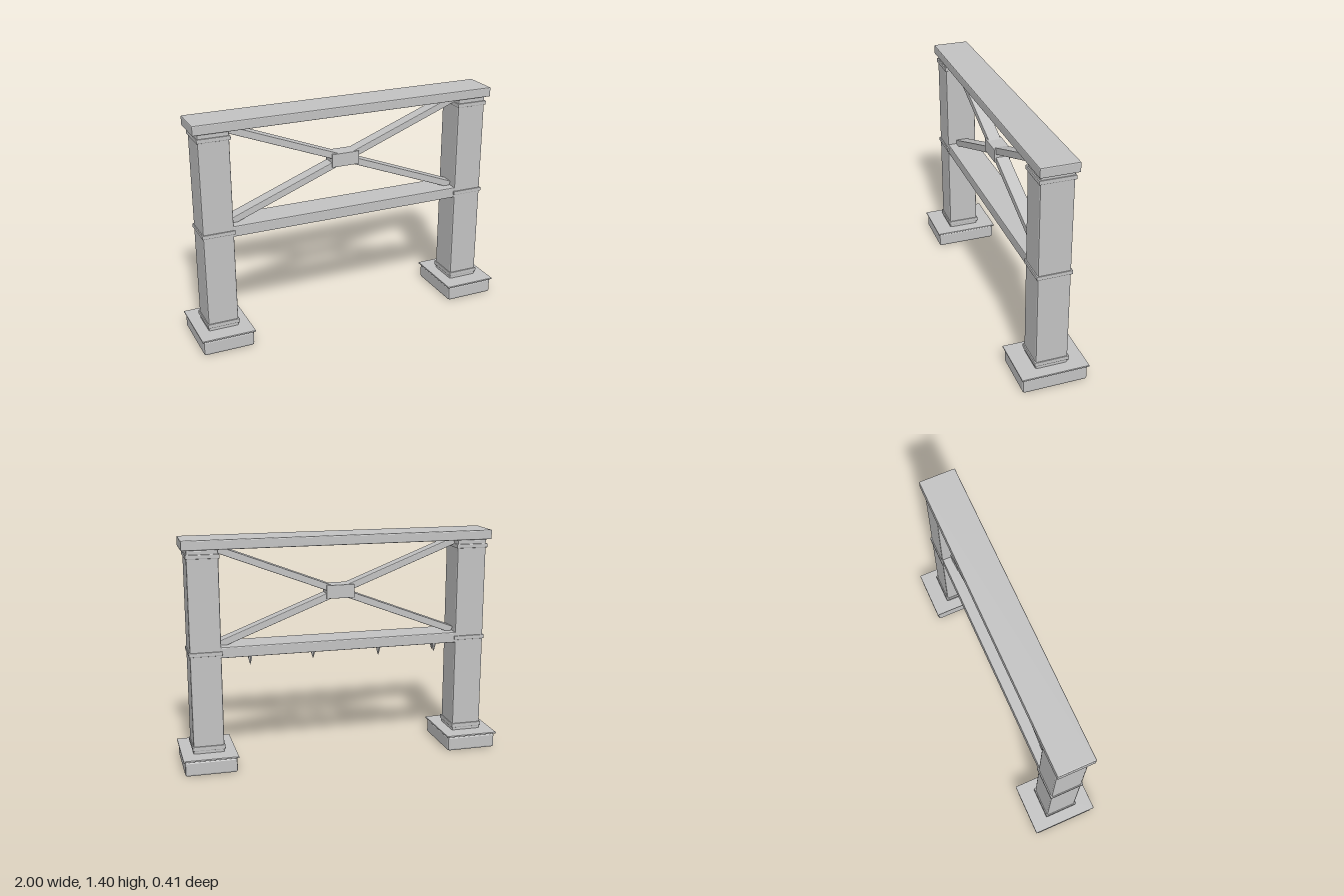
import * as THREE from 'three';
import { RoundedBoxGeometry } from 'three/addons/geometries/RoundedBoxGeometry.js';

export function createModel() {
  const model = new THREE.Group();
  model.name = 'gatewayFrame';
  const stone = new THREE.MeshStandardMaterial({ color: 0xc2c2c2 });
  stone.name = 'stoneGrey';

  const add = (parent, name, geometry, x, y, z) => {
    const mesh = new THREE.Mesh(geometry, stone);
    mesh.name = name;
    mesh.position.set(x, y, z);
    parent.add(mesh);
    return mesh;
  };

  // Block with chamfered, flat-shaded edges, placed by its bottom and top
  const block = (parent, name, w, y0, y1, d, bevel, x = 0, z = 0) => {
    const geometry = new RoundedBoxGeometry(w, y1 - y0, d, 1, bevel);
    geometry.computeVertexNormals();
    return add(parent, name, geometry, x, (y0 + y1) / 2, z);
  };

  // Posts with plinths and bands
  for (const side of [-1, 1]) {
    const post = new THREE.Group();
    post.name = side > 0 ? 'leftPost' : 'rightPost';
    post.position.x = side * 0.834;
    model.add(post);
    block(post, 'plinth', 0.316, 0, 0.097, 0.396, 0.014);
    block(post, 'plinthSlab', 0.332, 0.094, 0.104, 0.41, 0.002);
    block(post, 'shaft', 0.188, 0.09, 1.345, 0.196, 0.01);
    for (const [y0, y1] of [[0.122, 0.149], [0.708, 0.733], [1.29, 1.315]]) {
      block(post, 'band', 0.2, y0, y1, 0.211, 0.004);
    }
  }

  // Horizontal beams
  block(model, 'topBeam', 1.915, 1.341, 1.4, 0.227, 0.006);
  block(model, 'lowerBeam', 1.52, 0.69, 0.757, 0.19, 0.006);

  // Crossed braces and the block where they meet
  const centreY = 1.047;
  for (const side of [-1, 1]) {
    const brace = block(model, 'brace', 1.58, centreY - 0.021, centreY + 0.021, 0.08, 0.004);
    brace.rotation.z = side * Math.atan2(0.28, 0.725);
  }
  block(model, 'braceHub', 0.176, 1.006, 1.089, 0.1, 0.002, -0.004);

  // Pointed studs hanging under the rear of the lower beam
  const stud = (x, z, length) => {
    const profile = [[0, -length], [0.004, -length * 0.8], [0.012, -length * 0.25], [0.014, 0.004]]
      .map(([r, y]) => new THREE.Vector2(r, y));
    const geometry = new THREE.LatheGeometry(profile, 6).toNonIndexed();
    geometry.computeVertexNormals();
    add(model, 'hangingStud', geometry, x, 0.692, z);
  };
  stud(-0.605, -0.075, 0.055);
  stud(-0.6, -0.055, 0.045);
  stud(-0.24, -0.07, 0.055);
  stud(0.176, -0.065, 0.047);
  stud(0.567, -0.075, 0.057);

  return model;
}
